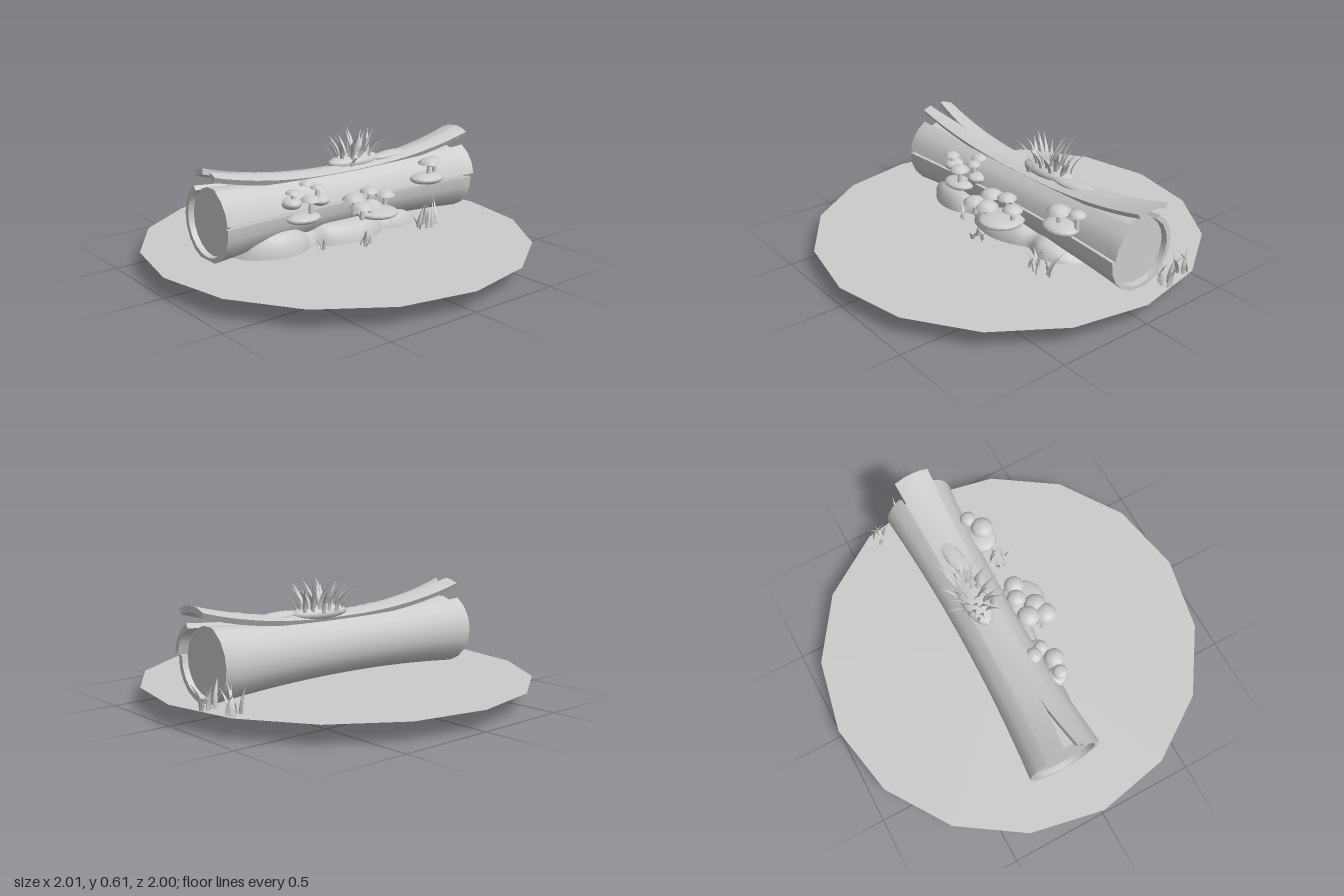
import * as THREE from 'three';
import { toCreasedNormals } from 'three/addons/utils/BufferGeometryUtils.js';

const mat = new THREE.MeshStandardMaterial({ color: 0xcccccc, side: THREE.DoubleSide });
const CY = 0.283, CZ = -0.08;
const flare = (x) => Math.abs((x - 0.1) / 0.82);
const logRadius = (x) => 0.15 + 0.04 * flare(x) ** 2;
const rad = THREE.MathUtils.degToRad;

let seed = 7;
const rnd = () => (seed = (seed * 16807) % 2147483647) / 2147483647;

function add(parent, name, geo, x = 0, y = 0, z = 0) {
  const m = new THREE.Mesh(geo, mat);
  m.name = name;
  m.position.set(x, y, z);
  parent.add(m);
  return m;
}

// Skin a list of equally long cross-sections; closed loops get ribbed end caps
function loft(rows, closed) {
  const n = rows[0].length, idx = [];
  for (let i = 0; i < rows.length - 1; i++) {
    for (let j = 0; j < (closed ? n : n - 1); j++) {
      const a = i * n + j, b = i * n + (j + 1) % n;
      idx.push(a, a + n, b, b, a + n, b + n);
    }
  }
  if (closed) {
    const e = (rows.length - 1) * n;
    for (let j = 0; j < n / 2 - 1; j++) {
      const k = n - 1 - j;
      idx.push(j, j + 1, k, j + 1, k - 1, k);
      idx.push(e + j, e + k, e + j + 1, e + j + 1, e + k, e + k - 1);
    }
  }
  const g = new THREE.BufferGeometry();
  g.setAttribute('position', new THREE.Float32BufferAttribute(rows.flat(2), 3));
  g.setIndex(idx);
  g.computeVertexNormals();
  return g;
}

// Curved strip of bark between two angles (0 = front, 90 = top)
function bark(parent, name, x0, x1, from, to, thick, lift = () => 0) {
  const rows = [], steps = 22;
  const arcs = Math.max(2, Math.round((to(0) - from(0)) / 18));
  for (let i = 0; i <= steps; i++) {
    const x = x0 + (x1 - x0) * i / steps, r = logRadius(x), outer = [], inner = [];
    for (let j = 0; j <= arcs; j++) {
      const t = rad(from(x) + (to(x) - from(x)) * j / arcs);
      const point = (q) => [x, CY + q * Math.sin(t) + lift(x), CZ + q * Math.cos(t)];
      outer.push(point(r + 0.005));
      inner.unshift(point(r + 0.005 - thick));
    }
    rows.push([...outer, ...inner]);
  }
  add(parent, name, toCreasedNormals(loft(rows, true), rad(38)));
}

// Bent, tapering blade with a flattened section
function blade(parent, name, x, y, z, h, w, lean, turn) {
  const g = new THREE.ConeGeometry(w, h, 6, 5);
  g.translate(0, h / 2, 0);
  const p = g.attributes.position;
  for (let i = 0; i < p.count; i++) {
    const t = p.getY(i) / h;
    const width = t > 0.99 ? 1 : (0.7 + 0.5 * Math.sin(Math.PI * t));
    p.setXYZ(i, p.getX(i) * width, p.getY(i) * (1 - 0.25 * lean * t), p.getZ(i) * 0.3 + lean * h * t * t);
  }
  g.computeVertexNormals();
  add(parent, name, g, x, y, z).rotation.y = turn;
}

function tuft(parent, name, x, z, y, count, spread, h) {
  const g = new THREE.Group();
  g.name = name;
  for (let i = 0; i < count; i++) {
    const a = i / count * Math.PI * 2 + rnd();
    blade(g, 'blade', x + Math.cos(a) * spread * (0.4 + 0.6 * rnd()), y, z + Math.sin(a) * spread * 0.5,
      h * (0.65 + 0.4 * rnd()), 0.015, 0.25 + 0.35 * rnd(), rnd() * 6.28);
  }
  parent.add(g);
}

function blob(parent, name, x, y, z, rx, ry, rz) {
  const m = add(parent, name, new THREE.SphereGeometry(1, 16, 10), x, y, z);
  m.scale.set(rx, ry, rz);
  return m;
}

function mushroom(parent, x, top, z, r, base) {
  const g = new THREE.Group();
  g.name = 'mushroom';
  const cap = [[0, -0.2], [0.7, -0.2], [1, -0.12], [0.95, 0.03], [0.65, 0.27], [0.3, 0.4], [0, 0.43]];
  add(g, 'cap', toCreasedNormals(
    new THREE.LatheGeometry(cap.map(([a, b]) => new THREE.Vector2(a * r, b * r)), 14), rad(50)), 0, top - 0.4 * r);
  const h = top - 0.5 * r - base;
  add(g, 'stem', new THREE.CylinderGeometry(0.009, 0.013, h, 8), 0, base + h / 2);
  g.position.set(x, 0, z);
  parent.add(g);
}

export function createModel() {
  const root = new THREE.Group();
  root.name = 'fallenLog';

  // Thin ground disc
  const ground = new THREE.CircleGeometry(1, 16);
  ground.rotateX(-Math.PI / 2);
  add(root, 'ground', ground, 0, 0.1, 0);

  // Log core
  const core = [new THREE.Vector2(0, -0.69)];
  for (let i = 0; i <= 16; i++) {
    const x = -0.69 + 1.53 * i / 16;
    core.push(new THREE.Vector2(logRadius(x) - 0.016, x));
  }
  core.push(new THREE.Vector2(0, 0.84));
  const coreGeo = new THREE.LatheGeometry(core, 18);
  coreGeo.rotateZ(-Math.PI / 2);
  add(root, 'logCore', toCreasedNormals(coreGeo, rad(40)), 0, CY, CZ);

  // Bark strips; the top one peels up at both ends and is split at one
  const lift = (x) => 0.008 + 0.065 * flare(x) ** 2.5;
  const notch = (x) => 10 * Math.max(0, (-0.48 - x) / 0.24);
  bark(root, 'lowerBark', -0.72, 0.87, () => 122, () => 364, 0.025);
  bark(root, 'frontBark', -0.72, 0.89, () => 7, () => 62, 0.025, () => 0.004);
  bark(root, 'topBarkFront', -0.72, 0.92, () => 61, (x) => 85 - notch(x), 0.03, lift);
  bark(root, 'topBarkBack', -0.72, 0.92, (x) => 85 + notch(x), () => 119, 0.03, lift);

  // Earth bank along the front: x, bulge in z, height
  const bank = [[-0.61, 0, 0.11], [-0.55, 0.07, 0.19], [-0.43, 0.13, 0.22], [-0.3, 0.125, 0.215], [-0.2, 0.07, 0.18],
    [-0.12, 0.125, 0.2], [0.05, 0.155, 0.195], [0.18, 0.12, 0.2], [0.26, 0.08, 0.18],
    [0.35, 0.11, 0.19], [0.46, 0.08, 0.16], [0.52, 0.03, 0.125], [0.55, -0.03, 0.11]];
  const spline = (k) => new THREE.CatmullRomCurve3(bank.map((b) => new THREE.Vector3(b[0], b[1], b[2]))).getPoint(k);
  const section = [[0, 0], [0, 0.45], [0.006, 0.7], [0.03, 0.88], [0.07, 0.98], [0.14, 1]];
  const rows = [];
  for (let i = 0; i <= 48; i++) {
    const p = spline(i / 48);
    rows.push(section.map(([back, h]) => [p.x, p.z * h, Math.max(-0.06, p.y - back)]));
  }
  add(root, 'earthBank', loft(rows, false));

  // Shelf fungi on the side of the log
  [[-0.34, 0.352, 0.08, 0.052, 0.03, 0.06], [-0.16, 0.335, 0.07, 0.05, 0.028, 0.055],
    [-0.28, 0.27, 0.1, 0.095, 0.026, 0.07], [0.14, 0.237, 0.15, 0.115, 0.028, 0.12],
    [0.53, 0.342, 0.11, 0.1, 0.03, 0.08]].forEach((s) => blob(root, 'shelfFungus', ...s));

  // Mushrooms: x, top, z, cap radius, stem base
  [[-0.34, 0.425, 0.1, 0.04, 0.36], [-0.25, 0.385, 0.12, 0.052, 0.28], [-0.205, 0.435, 0.025, 0.042, 0.33],
    [-0.18, 0.42, 0.08, 0.036, 0.34], [0.02, 0.345, 0.12, 0.06, 0.24], [0.13, 0.36, 0.11, 0.05, 0.24],
    [0.21, 0.335, 0.14, 0.052, 0.24], [0, 0.325, 0.21, 0.06, 0.235], [0.07, 0.32, 0.19, 0.06, 0.24],
    [0.53, 0.455, 0.125, 0.06, 0.34], [0.61, 0.445, 0.085, 0.043, 0.34]].forEach((m) => mushroom(root, ...m));

  // Moss pads on top
  blob(root, 'mossPad', 0.2, 0.45, -0.1, 0.17, 0.04, 0.07);
  blob(root, 'mossPad', 0.43, 0.452, -0.08, 0.14, 0.022, 0.045).rotation.y = 0.15;

  // Leafy plants on the moss
  for (let i = 0; i < 30; i++) {
    const a = i * 2.4, d = Math.sqrt((i + 0.5) / 30);
    const x = 0.2 + Math.cos(a) * d * 0.14, z = -0.11 + Math.sin(a) * d * 0.07;
    blade(root, 'leaf', x, 0.455, z, 0.11 + 0.07 * rnd(), 0.015, 0.2 + 0.45 * d, Math.PI / 2 - a + rnd() - 0.5);
  }
  blade(root, 'leaf', 0.13, 0.44, -0.03, 0.09, 0.02, 0.9, 0.2);

  // Grass around the log
  tuft(root, 'grass', -0.2, 0.14, 0.08, 3, 0.015, 0.11);
  tuft(root, 'grass', 0.02, 0.21, 0.08, 6, 0.05, 0.13);
  tuft(root, 'grass', 0.47, 0.18, 0.09, 9, 0.07, 0.16);
  tuft(root, 'grass', 0.92, -0.19, 0.1, 6, 0.04, 0.15);
  tuft(root, 'grass', 0.89, -0.34, 0.1, 6, 0.05, 0.16);
  return root;
}
